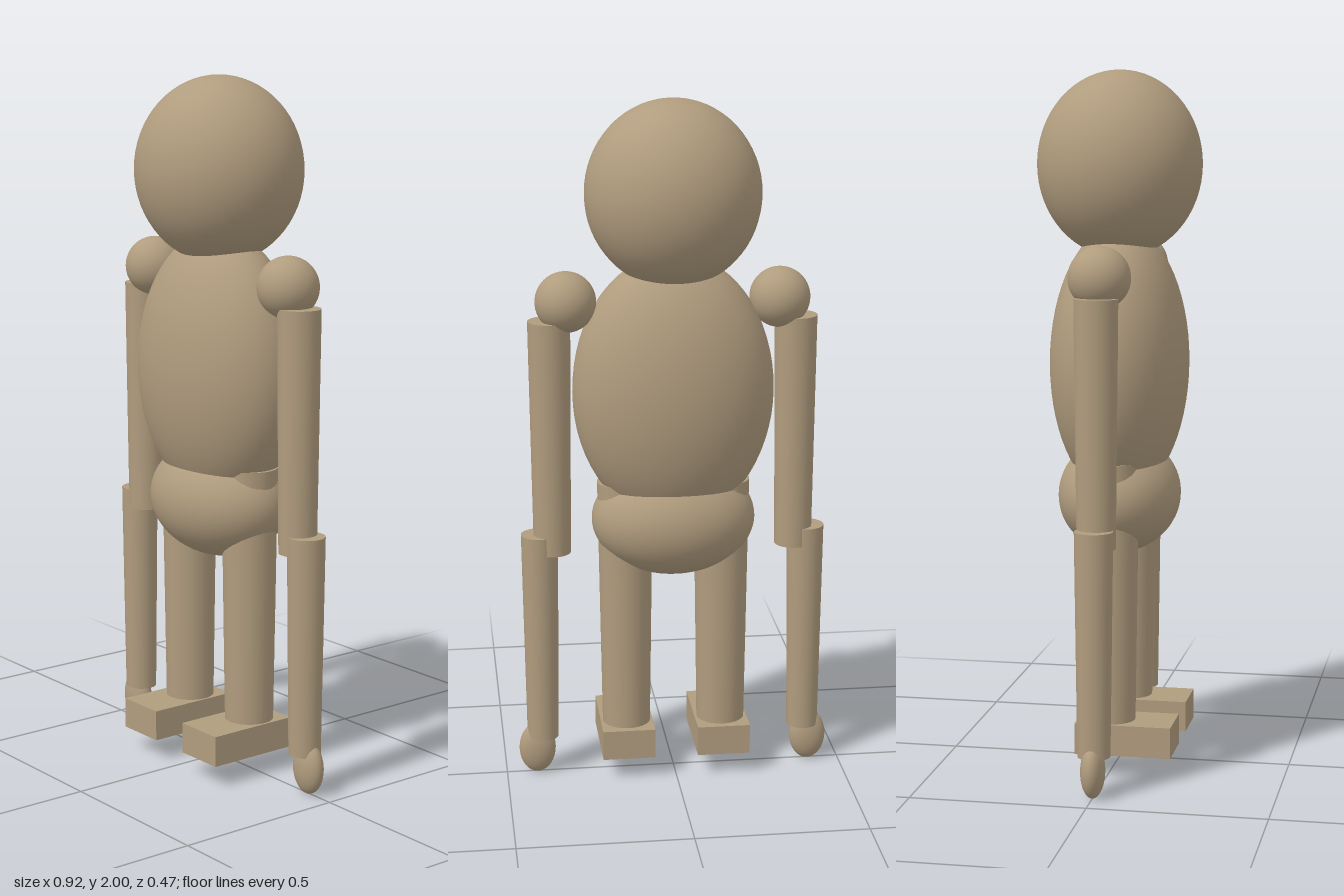
import * as THREE from 'three';

export function createModel() {
  const model = new THREE.Group();
  model.name = 'figure';
  const tan = new THREE.MeshStandardMaterial({ color: 0xb09c7e });
  tan.name = 'tan';

  const add = (name, geometry, x, y, z = 0) => {
    const mesh = new THREE.Mesh(geometry, tan);
    mesh.name = name;
    mesh.position.set(x, y, z);
    model.add(mesh);
  };
  const ellipsoid = (name, rx, ry, rz, x, y) =>
    add(name, new THREE.SphereGeometry(1, 48, 32).scale(rx, ry, rz), x, y);
  const limb = (name, rTop, rBottom, yTop, yBottom, x) =>
    add(name, new THREE.CylinderGeometry(rTop, rBottom, yTop - yBottom, 32), x, (yTop + yBottom) / 2);

  // Head and body
  ellipsoid('head', 0.25, 0.265, 0.235, 0, 1.735);
  ellipsoid('torso', 0.29, 0.395, 0.197, 0, 1.17);
  ellipsoid('pelvis', 0.238, 0.168, 0.175, 0, 0.787);

  for (const [side, s] of [['left', 1], ['right', -1]]) {
    // Arm, stepping outwards towards the hand
    ellipsoid(side + 'Shoulder', 0.087, 0.087, 0.087, s * 0.306, 1.433);
    limb(side + 'UpperArm', 0.061, 0.054, 1.38, 0.692, s * 0.354);
    limb(side + 'Forearm', 0.054, 0.046, 0.747, 0.114, s * 0.391);
    ellipsoid(side + 'Hand', 0.054, 0.077, 0.034, s * 0.408, 0.077);

    // Leg and block foot
    limb(side + 'Leg', 0.081, 0.07, 0.9, 0.11, s * 0.141);
    add(side + 'Foot', new THREE.BoxGeometry(0.155, 0.089, 0.277), s * 0.141, 0.109, 0.047);
  }
  return model;
}
